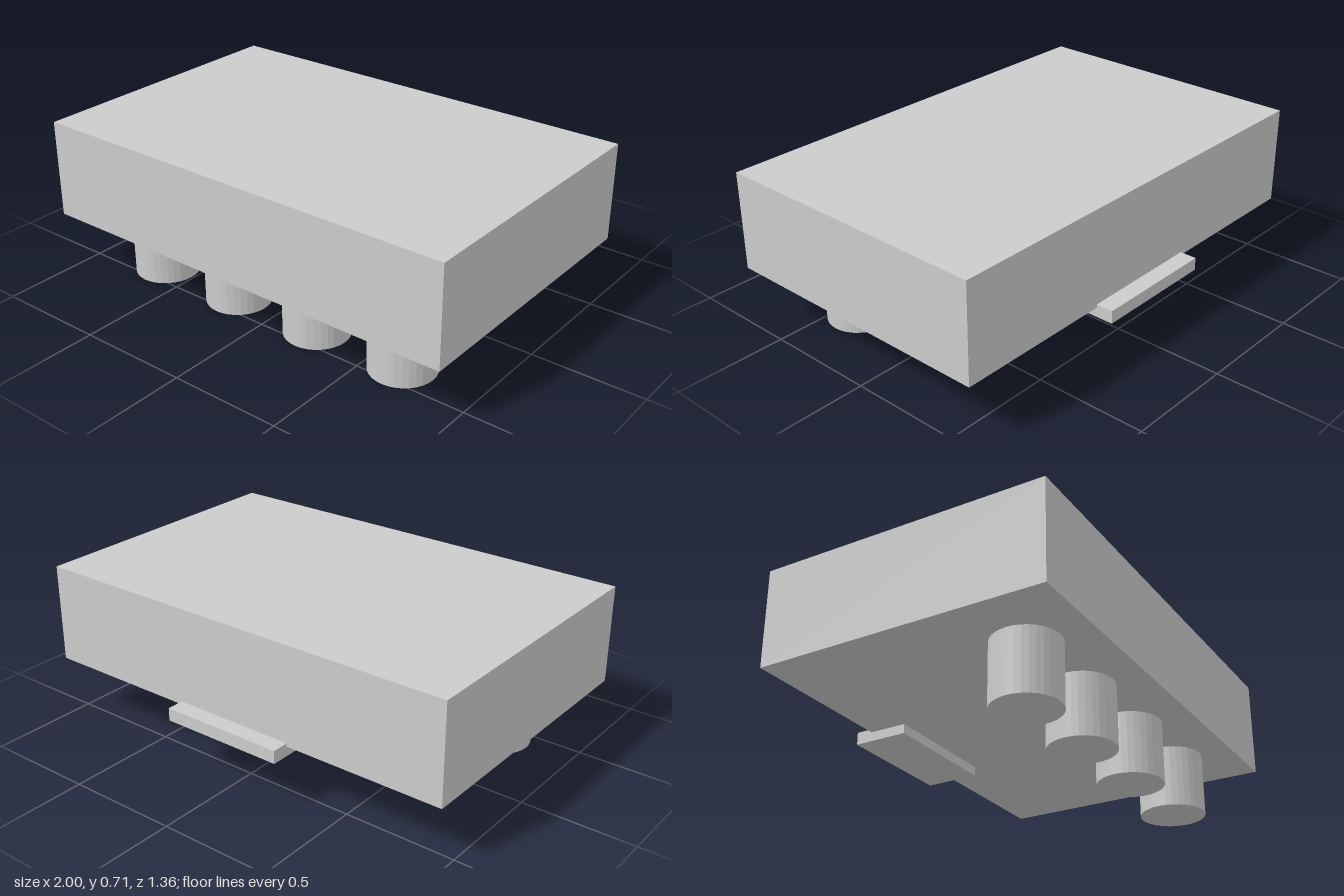
import * as THREE from 'three';

export function createModel() {
  const model = new THREE.Group();
  const material = new THREE.MeshStandardMaterial({ color: 0xcccccc, flatShading: true });

  const add = (name, geometry, x, y, z) => {
    const mesh = new THREE.Mesh(geometry, material);
    mesh.name = name;
    mesh.position.set(x, y, z);
    model.add(mesh);
  };

  // Main block
  add('body', new THREE.BoxGeometry(2, 0.438, 1.28), 0, 0.495, 0.038);

  // Thin tab under the rear edge, overlapping the body slightly
  add('rearTab', new THREE.BoxGeometry(0.564, 0.057, 0.25), 0, 0.262, -0.553);

  // Row of four round pegs near the front
  const pegHeight = 0.276;
  for (let i = 0; i < 4; i++) {
    add(`peg${i + 1}`, new THREE.CylinderGeometry(0.144, 0.144, pegHeight, 32),
      (i - 1.5) * 0.434 - 0.002, pegHeight / 2, 0.396);
  }

  return model;
}
